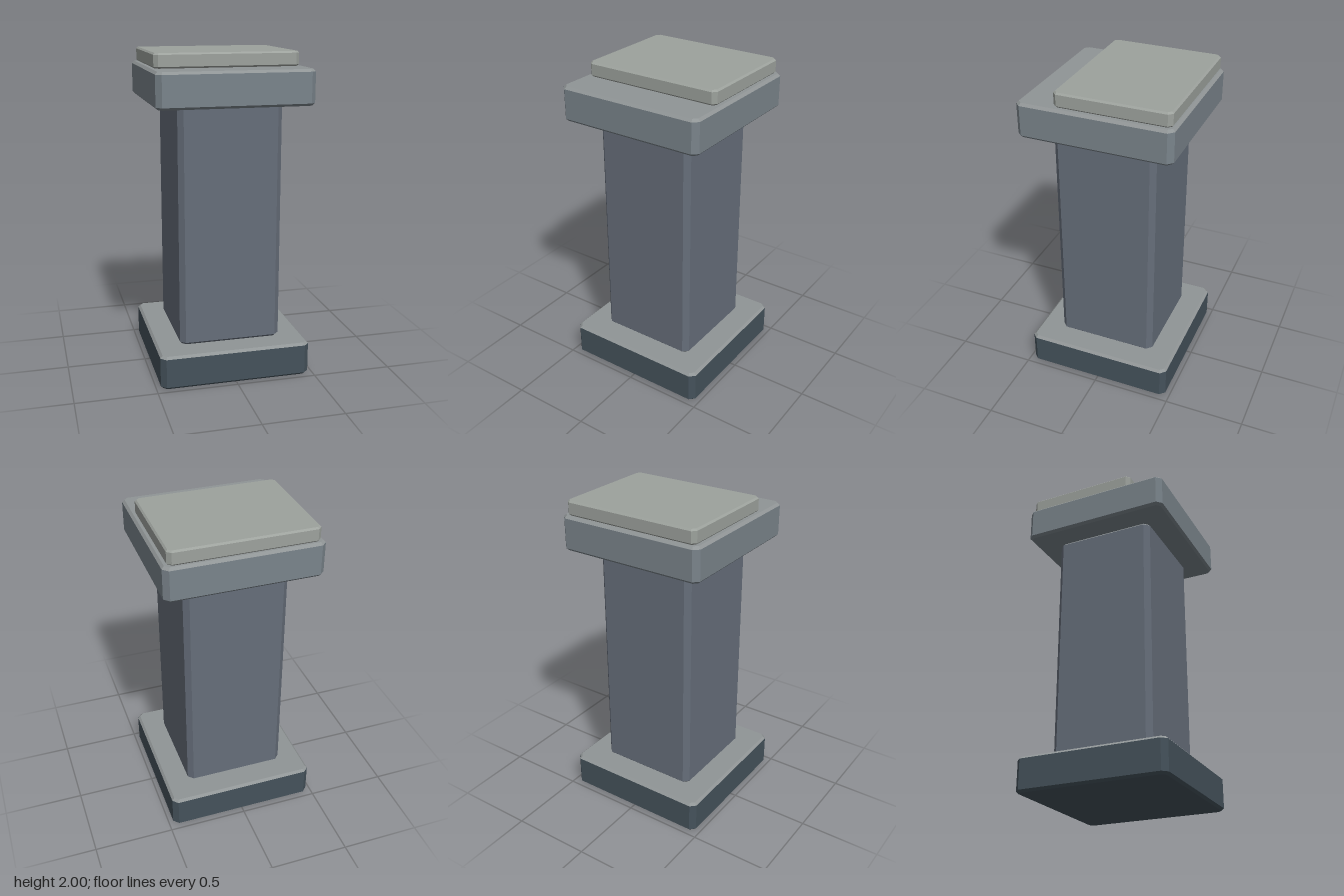
import * as THREE from 'three';

// Octagonal outline: a rectangle with cut corners, counter-clockwise seen from above
function outline(hx, hz, cut, y, cz) {
  const a = hx - cut, b = hz - cut;
  return [[hx, b], [hx, -b], [a, -hz], [-a, -hz], [-hx, -b], [-hx, b], [-a, hz], [a, hz]]
    .map(([x, z]) => new THREE.Vector3(x, y, z + cz));
}

// Faceted surface through stacked outlines, optionally closed at either end
function loft(rings, capBottom, capTop) {
  const points = [];
  for (let r = 0; r < rings.length - 1; r++) {
    const lo = rings[r], hi = rings[r + 1];
    for (let i = 0; i < 8; i++) {
      const j = (i + 1) % 8;
      points.push(lo[i], lo[j], hi[j], lo[i], hi[j], hi[i]);
    }
  }
  const first = rings[0], last = rings[rings.length - 1];
  for (let i = 1; i < 7; i++) {
    if (capBottom) points.push(first[0], first[i + 1], first[i]);
    if (capTop) points.push(last[0], last[i], last[i + 1]);
  }
  const geometry = new THREE.BufferGeometry().setFromPoints(points);
  geometry.computeVertexNormals();
  return geometry;
}

// Bevelled block with its own colour on the body and on the upper bevel and top
function block({ name, hx, hz, y0, y1, cz = 0, cut, bevel, color, topColor }) {
  const group = new THREE.Group();
  group.name = name;
  const inset = (y) => outline(hx - bevel, hz - bevel, cut - bevel * 0.586, y, cz);
  const full = (y) => outline(hx, hz, cut, y, cz);
  const add = (part, geometry, c) => {
    const mesh = new THREE.Mesh(geometry, new THREE.MeshStandardMaterial({ color: c, flatShading: true }));
    mesh.name = part;
    group.add(mesh);
  };
  add(name + 'Body', loft([inset(y0), full(y0 + bevel), full(y1 - bevel)], true, false), color);
  add(name + 'Top', loft([full(y1 - bevel), inset(y1)], false, true), topColor);
  return group;
}

export function createModel() {
  const model = new THREE.Group();
  model.name = 'pedestal';
  const stone = 0x909596;
  const parts = [
    { name: 'base', hx: 0.472, hz: 0.472, y0: 0, y1: 0.213, cut: 0.032, bevel: 0.015, color: 0x45525b, topColor: stone },
    { name: 'shaft', hx: 0.32, hz: 0.32, y0: 0.213, y1: 1.698, cut: 0.032, bevel: 0.015, color: 0x666e7a, topColor: stone },
    { name: 'capital', hx: 0.472, hz: 0.472, y0: 1.698, y1: 1.911, cut: 0.032, bevel: 0.015, color: 0x7a848b, topColor: stone },
    // Thin slab set towards the back of the capital
    { name: 'slab', hx: 0.443, hz: 0.3505, y0: 1.911, y1: 2, cz: -0.1035, cut: 0.024, bevel: 0.01, color: 0x9da29d, topColor: 0x9da29d },
  ];
  for (const part of parts) model.add(block(part));
  return model;
}
